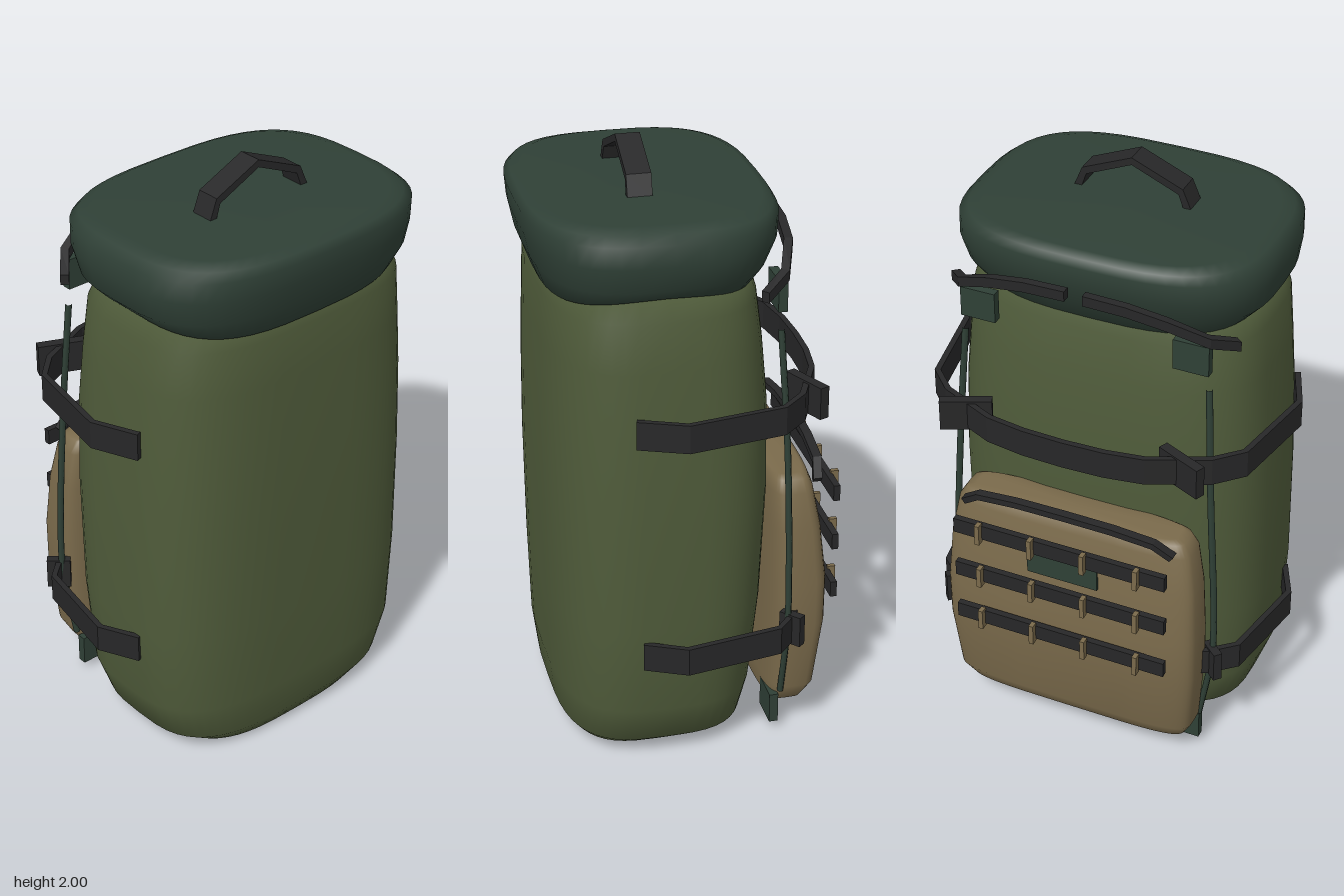
import * as THREE from 'three';

const mat = (name, color) => {
  const m = new THREE.MeshStandardMaterial({ color });
  m.name = name;
  return m;
};

// Vertical loft of rounded-rectangle rings; rows are [y, halfWidth, zFront, zBack, droop]
function loft(rows, power, seg = 48) {
  const pos = [], idx = [];
  const bend = v => Math.sign(v) * Math.abs(v) ** (2 / power);
  const first = rows[0], last = rows[rows.length - 1];
  const centre = r => [r[0], 0, (r[2] + r[3]) / 2, (r[2] + r[3]) / 2];
  const all = [centre(first), ...rows, centre(last)];
  for (const [y, hx, zf, zb, droop = 0] of all)
    for (let i = 0; i < seg; i++) {
      const t = (i / seg) * Math.PI * 2, s = bend(Math.sin(t));
      pos.push(hx * bend(Math.cos(t)), y - droop * s * s, (zf + zb) / 2 + ((zf - zb) / 2) * s);
    }
  for (let j = 0; j < all.length - 1; j++)
    for (let i = 0; i < seg; i++) {
      const a = j * seg + i, b = j * seg + ((i + 1) % seg);
      idx.push(a, a + seg, b, b, a + seg, b + seg);
    }
  const g = new THREE.BufferGeometry();
  g.setAttribute('position', new THREE.Float32BufferAttribute(pos, 3));
  g.setIndex(idx);
  g.computeVertexNormals();
  return g;
}

// Flat webbing swept along points, its width held along one direction
function webbing(points, width, thick, across) {
  const p = points.map(q => new THREE.Vector3(...q));
  const w = new THREE.Vector3(...across), pos = [], idx = [];
  p.forEach((q, k) => {
    const t = p[Math.min(k + 1, p.length - 1)].clone().sub(p[Math.max(k - 1, 0)]);
    const n = t.cross(w).normalize();
    for (const [a, b] of [[1, 1], [-1, 1], [-1, -1], [1, -1]])
      pos.push(...q.clone().addScaledVector(w, a * width / 2).addScaledVector(n, b * thick / 2).toArray());
  });
  for (let k = 0; k < p.length - 1; k++)
    for (let i = 0; i < 4; i++) {
      const a = k * 4 + i, b = k * 4 + ((i + 1) % 4);
      idx.push(a, b, a + 4, b, b + 4, a + 4);
    }
  const e = (p.length - 1) * 4;
  idx.push(0, 2, 1, 0, 3, 2, e, e + 1, e + 2, e, e + 2, e + 3);
  const g = new THREE.BufferGeometry();
  g.setAttribute('position', new THREE.Float32BufferAttribute(pos, 3));
  g.setIndex(idx);
  const flat = g.toNonIndexed();
  flat.computeVertexNormals();
  return flat;
}

export function createModel() {
  const olive = mat('olive canvas', 0x4f5b3a);
  const pine = mat('dark green canvas', 0x2f4036);
  const tan = mat('tan canvas', 0x7a6a4b);
  const black = mat('black webbing', 0x272728);
  const model = new THREE.Group();
  const add = (name, geo, material, x = 0, y = 0, z = 0, ry = 0) => {
    const m = new THREE.Mesh(geo, material);
    m.name = name;
    m.position.set(x, y, z);
    m.rotation.y = ry;
    model.add(m);
    return m;
  };
  const box = (w, h, d) => new THREE.BoxGeometry(w, h, d);
  const UP = [0, 1, 0], DEEP = [0, 0, 1];

  // Main bag
  add('body', loft([
    [0, 0.39, 0.4, -0.14], [0.06, 0.475, 0.435, -0.195], [0.2, 0.525, 0.452, -0.22],
    [0.5, 0.54, 0.46, -0.25], [0.9, 0.537, 0.465, -0.27], [1.2, 0.527, 0.462, -0.267],
    [1.4, 0.512, 0.456, -0.25], [1.56, 0.498, 0.45, -0.23], [1.64, 0.46, 0.42, -0.2],
  ], 3.2), olive);

  // Lid, hanging lower at front and back
  add('lid', loft([
    [1.62, 0.45, 0.42, -0.19, 0.04], [1.63, 0.475, 0.45, -0.215, 0.04], [1.67, 0.515, 0.48, -0.26],
    [1.75, 0.527, 0.497, -0.295], [1.82, 0.525, 0.503, -0.3], [1.845, 0.495, 0.485, -0.285],
    [1.86, 0.45, 0.45, -0.255],
  ], 3.1), pine);

  // Carry handle on the lid
  add('topHandle', webbing([
    [-0.19, 1.85, 0.14], [-0.165, 1.915, 0.138], [0, 1.987, 0.135], [0.165, 1.915, 0.138], [0.19, 1.85, 0.14],
  ], 0.08, 0.025, DEEP), black);

  // Upper compression strap, running around the back
  const half = [[0.535, 1.215, 0.23], [0.598, 1.215, 0.08], [0.54, 1.215, -0.24], [0.46, 1.215, -0.32],
    [0.27, 1.215, -0.405], [0.14, 1.215, -0.425]];
  const mirrored = half.map(([x, y, z]) => [-x, y, z]).reverse();
  add('upperStrap', webbing([...half, [0, 1.215, -0.43], ...mirrored], 0.095, 0.02, UP), black);

  for (const s of [-1, 1]) {
    const side = pts => pts.map(([x, y, z]) => [s * x, y, z]);
    const label = s > 0 ? 'left' : 'right';

    add(label + 'UpperBuckle', box(0.17, 0.108, 0.034), black, s * 0.375, 1.215, -0.36, s * 0.42);

    // Lower compression straps end beside the pouch
    add(label + 'LowerStrap', webbing(side([[0.535, 0.42, 0.21], [0.598, 0.42, 0.08], [0.54, 0.42, -0.24],
      [0.46, 0.42, -0.31], [0.4, 0.42, -0.335]]), 0.095, 0.02, UP), black);
    add(label + 'LowerBuckle', box(0.08, 0.108, 0.03), black, s * 0.475, 0.42, -0.3, s * 0.72);

    // Straps pulling the lid down at the back
    add(label + 'LidStrap', webbing(side([[0.03, 1.735, -0.325], [0.17, 1.73, -0.322], [0.3, 1.705, -0.308],
      [0.42, 1.65, -0.265], [0.485, 1.61, -0.185]]), 0.035, 0.028, UP), black);

    // Thin cord and its anchor tabs
    const cord = new THREE.CatmullRomCurve3(side([[0.42, 1.47, -0.257], [0.445, 1.05, -0.28],
      [0.47, 0.6, -0.287], [0.468, 0.42, -0.287], [0.425, 0.15, -0.28]]).map(q => new THREE.Vector3(...q)));
    add(label + 'Cord', new THREE.TubeGeometry(cord, 20, 0.011, 6), pine);
    for (const [part, y] of [['UpperTab', 1.58], ['LowerTab', 0.08]])
      add(label + part, box(0.12, 0.105, 0.03), pine, s * 0.363, y, -0.26);
  }

  // Back pouch
  add('pouch', loft([
    [0.085, 0.37, -0.25, -0.365], [0.1, 0.4, -0.24, -0.385], [0.16, 0.43, -0.24, -0.42],
    [0.4, 0.45, -0.24, -0.45], [0.56, 0.45, -0.24, -0.452], [0.75, 0.438, -0.24, -0.43],
    [0.88, 0.415, -0.24, -0.405], [0.92, 0.39, -0.25, -0.39], [0.93, 0.36, -0.26, -0.375],
  ], 4.5), tan);
  add('pouchHandle', webbing([[-0.37, 0.9, -0.405], [-0.31, 0.945, -0.42], [-0.17, 0.962, -0.428], [0, 0.967, -0.432],
    [0.17, 0.962, -0.428], [0.31, 0.945, -0.42], [0.37, 0.9, -0.405]], 0.03, 0.022, DEEP), black);
  add('patch', box(0.25, 0.085, 0.009), pine, 0, 0.755, -0.447);

  // Rows of webbing with stitched loops
  for (const y of [0.845, 0.665, 0.485]) {
    add('pouchBar', box(0.75, 0.055, 0.022), black, 0, y, -0.472);
    for (const x of [-0.28, -0.093, 0.093, 0.28])
      add('barLoop', box(0.016, 0.075, 0.026), tan, x, y, -0.491);
  }
  return model;
}
